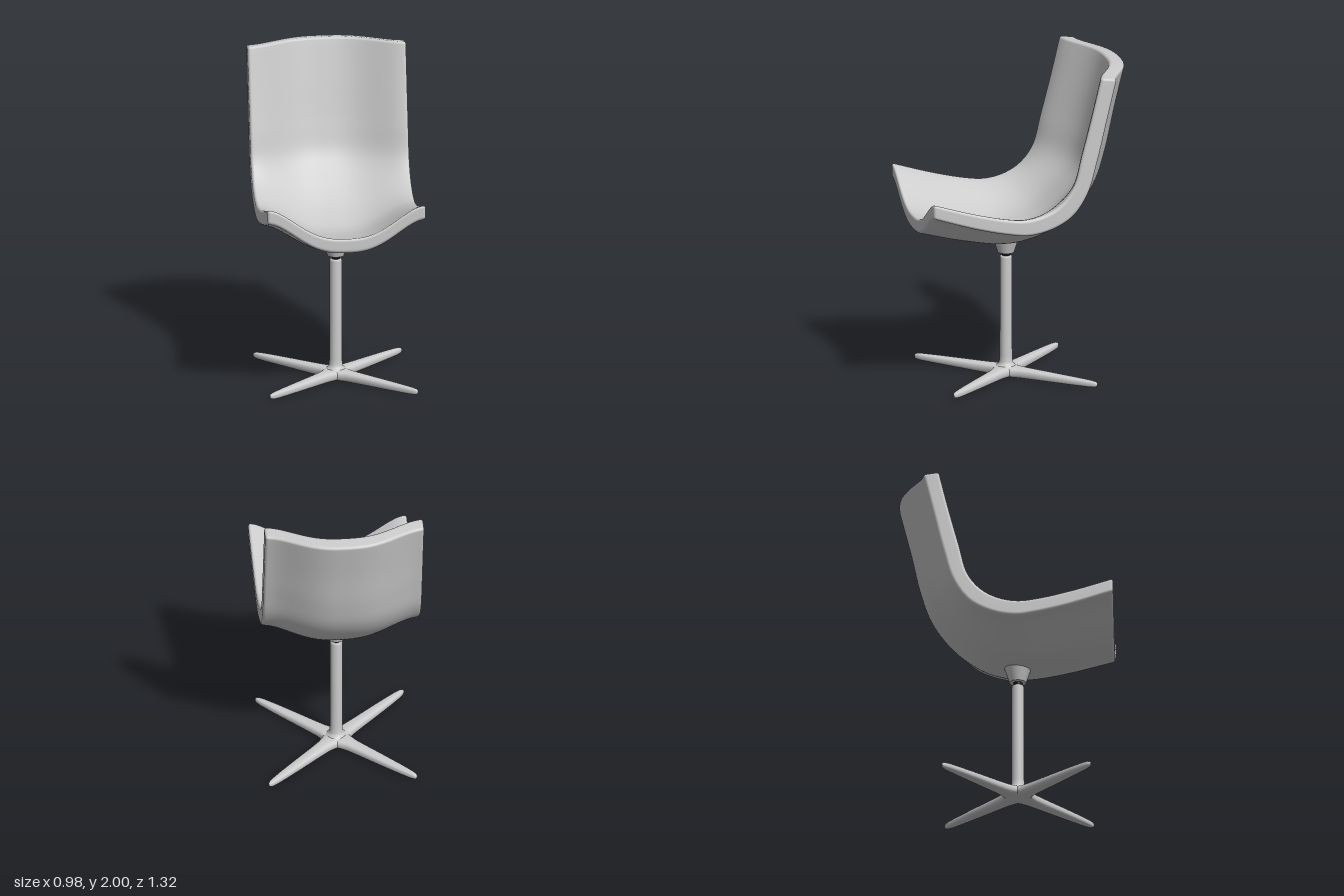
import * as THREE from 'three';

const grey = new THREE.MeshStandardMaterial({ color: 0xcccccc });
const dark = new THREE.MeshStandardMaterial({ color: 0x111111 });
const AXIS_Z = 0.065; // pedestal axis

// Skin closed rings (counter-clockwise seen from the first ring)
function loft(rings) {
  const n = rings[0].length, index = [];
  for (let i = 0; i < rings.length - 1; i++) {
    for (let j = 0; j < n; j++) {
      const a = i * n + j, b = i * n + (j + 1) % n;
      index.push(a, a + n, b, b, a + n, b + n);
    }
  }
  const geo = new THREE.BufferGeometry().setFromPoints(rings.flat());
  geo.setIndex(index);
  geo.computeVertexNormals();
  return geo;
}

function addMesh(parent, name, geo, material = grey) {
  const mesh = new THREE.Mesh(geo, material);
  mesh.name = name;
  parent.add(mesh);
  return mesh;
}

// Side profile curve from [z, y] pairs, front lip to top of back
const profile = (pts) => new THREE.CatmullRomCurve3(pts.map(([z, y]) => new THREE.Vector3(0, y, z)));

// Rounded rectangle as [x, thickness 0..1] pairs, shrunk by inset
function section(inset) {
  const W = 0.49, T = 0.092, R = 0.018, corner = 5, span = 36;
  const r = Math.max(R - inset, 0), hw = W - inset - r, ht = T / 2 - inset - r;
  const pts = [];
  [[1, 1], [-1, 1], [-1, -1], [1, -1]].forEach(([sx, sy], q) => {
    for (let k = 0; k <= corner; k++) {
      const a = (q + k / corner) * Math.PI / 2;
      pts.push([sx * hw + r * Math.cos(a), 0.5 + (sy * ht + r * Math.sin(a)) / T]);
    }
    // subdivide the long upper and lower runs
    if (q % 2 === 0) {
      for (let k = 1; k < span; k++) pts.push([sx * hw * (1 - 2 * k / span), 0.5 + sy * (ht + r) / T]);
    }
  });
  return pts;
}

function shellGeometry() {
  const edgeTop = profile([[0.66, 1.27], [0.40, 1.19], [0.19, 1.14], [0.07, 1.127], [-0.05, 1.15],
    [-0.155, 1.21], [-0.235, 1.315], [-0.285, 1.50], [-0.35, 1.75], [-0.41, 2.0]]);
  const edgeBottom = profile([[0.66, 1.18], [0.38, 1.09], [0.17, 1.04], [0.05, 1.025], [-0.10, 1.055],
    [-0.23, 1.13], [-0.325, 1.27], [-0.385, 1.47], [-0.447, 1.73], [-0.508, 1.985]]);
  const middleBottom = profile([[0.66, 0.98], [0.36, 0.905], [0.15, 0.872], [0.02, 0.88], [-0.17, 0.945],
    [-0.36, 1.10], [-0.475, 1.26], [-0.54, 1.45], [-0.60, 1.72], [-0.665, 1.985]]);

  // Stations along the profile, with rounded rims at both ends
  const rim = [[0, 0.046], [0, 0.03], [0, 0.018]];
  for (let k = 1; k <= 5; k++) {
    const a = k / 5 * Math.PI / 2;
    rim.push([0.007 * (1 - Math.cos(a)), 0.018 * (1 - Math.sin(a))]);
  }
  const stations = [...rim];
  for (let k = 1; k < 60; k++) stations.push([0.007 + 0.986 * k / 60, 0]);
  stations.push(...rim.map(([u, inset]) => [1 - u, inset]).reverse());

  return loft(stations.map(([u, inset]) => {
    const top = edgeTop.getPoint(u), low = edgeBottom.getPoint(u), mid = middleBottom.getPoint(u);
    const thick = top.clone().sub(low);
    return section(inset).map(([x, t]) => {
      // dished across the width, flaring at the sides
      const f = THREE.MathUtils.smoothstep(Math.pow(Math.abs(x) / 0.49, 1.4), 0, 1);
      const p = mid.clone().lerp(low, f).addScaledVector(thick, t);
      p.x = x;
      return p;
    });
  }));
}

// One tapering foot blade pointing to -z
function armGeometry() {
  // distance, half width, bottom, top
  const steps = [[-0.02, 0.075, 0, 0.068], [0.05, 0.066, 0, 0.068], [0.08, 0.054, 0, 0.067],
    [0.12, 0.046, 0.001, 0.065], [0.2, 0.041, 0.002, 0.063], [0.35, 0.036, 0.005, 0.059],
    [0.5, 0.029, 0.008, 0.055], [0.59, 0.022, 0.01, 0.052], [0.625, 0.016, 0.013, 0.049],
    [0.64, 0.01, 0.018, 0.044], [0.646, 0.001, 0.03, 0.032]];
  const soft = (v) => Math.sign(v) * Math.pow(Math.abs(v), 0.75);
  return loft(steps.map(([d, w, lo, hi]) => Array.from({ length: 24 }, (_, k) => {
    const a = k / 24 * Math.PI * 2;
    return new THREE.Vector3(w * soft(Math.cos(a)), (lo + hi) / 2 + (hi - lo) / 2 * soft(Math.sin(a)), -d);
  })));
}

const turned = (pts) => new THREE.LatheGeometry(pts.map(([r, y]) => new THREE.Vector2(r, y)), 40);

export function createModel() {
  const model = new THREE.Group();
  model.name = 'swivelChair';
  addMesh(model, 'seatShell', shellGeometry());

  const pedestal = new THREE.Group();
  pedestal.name = 'pedestal';
  pedestal.position.z = AXIS_Z;
  model.add(pedestal);

  // Four-pointed foot on the diagonals
  const arm = armGeometry();
  for (let i = 0; i < 4; i++) {
    addMesh(pedestal, 'footArm', arm).rotation.y = Math.PI / 4 + i * Math.PI / 2;
  }

  // Column with a flared foot and softened top edge
  addMesh(pedestal, 'column', turned([[0.075, 0.055], [0.058, 0.068], [0.046, 0.078], [0.041, 0.095], [0.039, 0.13],
    [0.038, 0.3], [0.038, 0.755], [0.036, 0.765], [0.031, 0.77], [0, 0.77]]));
  addMesh(pedestal, 'spindle', new THREE.CylinderGeometry(0.027, 0.027, 0.04, 32), dark).position.y = 0.78;
  // Conical mount under the seat
  addMesh(pedestal, 'seatMount', new THREE.CylinderGeometry(0.092, 0.051, 0.13, 40)).position.y = 0.855;
  return model;
}
